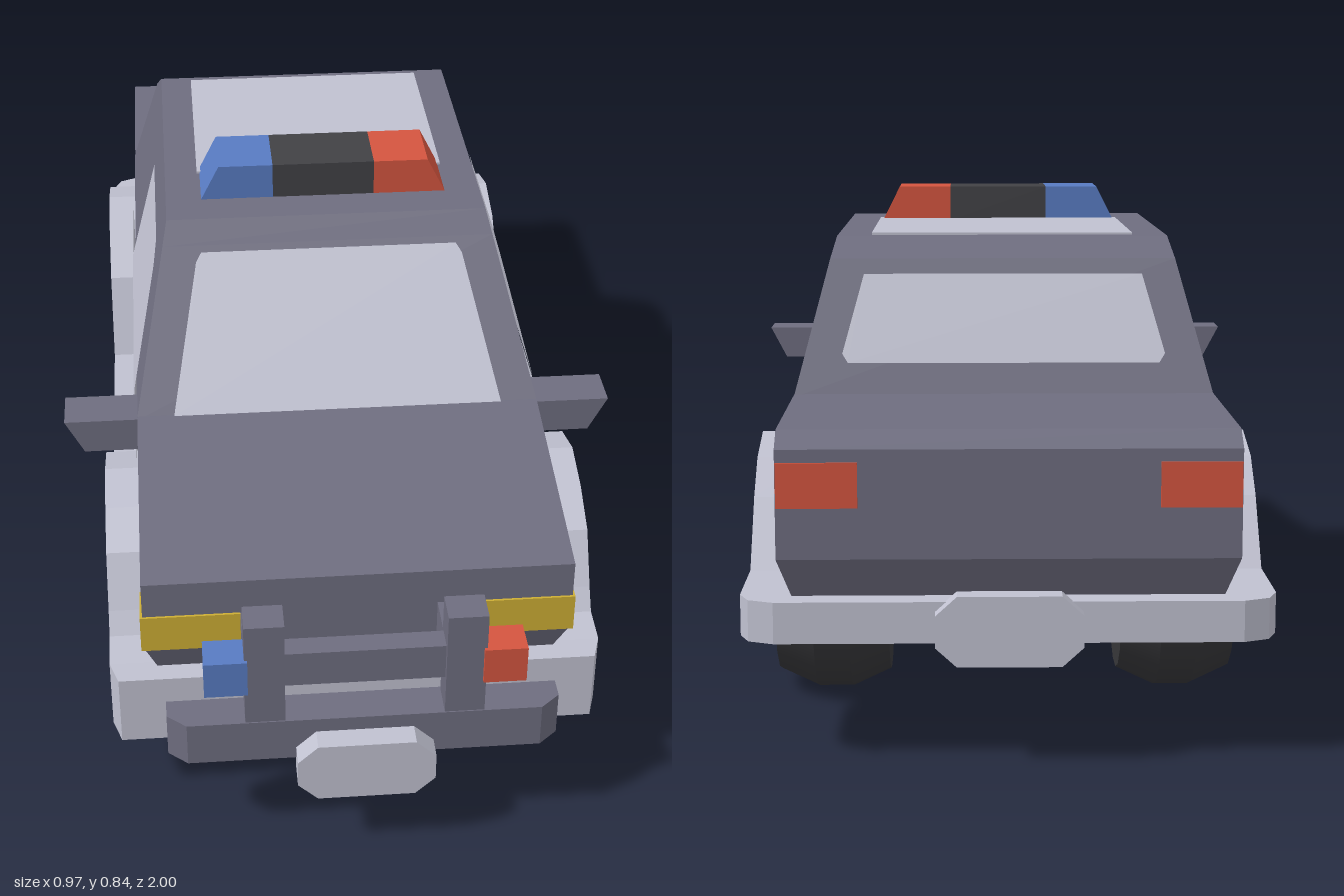
import * as THREE from 'three';
import { mergeGeometries } from 'three/addons/utils/BufferGeometryUtils.js';

const paint = (name, color, extra = {}) => {
  const m = new THREE.MeshStandardMaterial({ color, ...extra });
  m.name = name;
  return m;
};

export function createModel() {
  const car = new THREE.Group();
  car.name = 'patrolCar';
  const body = paint('slatePaint', 0x6e6d7f);
  const light = paint('paleGrey', 0xc0c1d0, { side: THREE.DoubleSide });
  const tyre = paint('tyreBlack', 0x37373a);
  const dark = paint('charcoal', 0x414145);
  const red = paint('red', 0xd4553f, { side: THREE.DoubleSide });
  const blue = paint('blue', 0x587bc2);
  const yellow = paint('yellow', 0xcdae34);

  const add = (name, geo, mat) => {
    const m = new THREE.Mesh(geo, mat);
    m.name = name;
    car.add(m);
    return m;
  };
  // Box from its limits
  const box = (name, mat, x0, x1, y0, y1, z0, z1) =>
    add(name, new THREE.BoxGeometry(Math.abs(x1 - x0), y1 - y0, z1 - z0)
      .translate((x0 + x1) / 2, (y0 + y1) / 2, (z0 + z1) / 2), mat);
  const extrude = (pts, depth) => new THREE.ExtrudeGeometry(
    new THREE.Shape(pts.map(p => new THREE.Vector2(...p))), { depth, bevelEnabled: false });
  // Side profile [z, y] between two x values
  const sideProfile = (name, mat, pts, x0, x1) =>
    add(name, extrude(pts, x1 - x0).rotateY(-Math.PI / 2).translate(x1, 0, 0), mat);
  // Plan outline [x, z] between two heights
  const plan = (name, mat, pts, y0, y1) =>
    add(name, extrude(pts.map(([x, z]) => [x, -z]), y1 - y0).rotateX(-Math.PI / 2).translate(0, y0, 0), mat);
  // Front outline [x, y] between two z values
  const frontOutline = (name, mat, pts, z0, z1) =>
    add(name, extrude(pts, z1 - z0).translate(0, 0, z0), mat);
  const geometryOf = tris => {
    const g = new THREE.BufferGeometry();
    g.setAttribute('position', new THREE.Float32BufferAttribute(tris.flat(), 3));
    g.computeVertexNormals();
    return g;
  };
  // Stack of rectangles [y, half width, back z, front z], bottom to top
  const loft = (name, mat, levels) => {
    const rings = levels.map(([y, w, b, f]) => [[-w, y, f], [w, y, f], [w, y, b], [-w, y, b]]);
    const t = [];
    const quad = (a, b, c, d) => t.push(a, b, c, a, c, d);
    for (let i = 0; i + 1 < rings.length; i++) {
      const lo = rings[i], hi = rings[i + 1];
      for (let k = 0; k < 4; k++) quad(lo[k], lo[(k + 1) % 4], hi[(k + 1) % 4], hi[k]);
    }
    quad(...rings[rings.length - 1]);
    quad(...[...rings[0]].reverse());
    return add(name, geometryOf(t), mat);
  };
  // Thin convex panel through 3D points
  const panel = (name, mat, pts) => {
    const t = [];
    for (let i = 1; i + 1 < pts.length; i++) t.push(pts[0], pts[i], pts[i + 1]);
    return add(name, geometryOf(t), mat);
  };

  // Main shell, tapered sill, cabin and floor
  sideProfile('bodyShell', body, [[0.84, 0.325], [0.84, 0.455], [0.45, 0.52], [-0.93, 0.52],
    [-0.965, 0.495], [-0.965, 0.325]], -0.355, 0.355);
  loft('lowerBody', body, [[0.195, 0.315, -0.90, 0.78], [0.26, 0.335, -0.93, 0.81], [0.325, 0.355, -0.965, 0.84]]);
  loft('cabin', body, [[0.515, 0.356, -0.583, 0.454], [0.74, 0.299, -0.465, 0.235], [0.775, 0.29, -0.41, 0.2]]);
  sideProfile('floor', body, [[0.82, 0.132], [0.82, 0.24], [-0.93, 0.24], [-0.93, 0.197],
    [-0.74, 0.197], [-0.5, 0.132]], -0.36, 0.36);

  // Windscreen, rear window and roof panel
  const wz = y => 0.457 - (y - 0.52) * 0.98;
  panel('windscreen', light, [[-0.29, 0.522], [0.29, 0.522], [0.24, 0.72], [0.23, 0.733], [-0.23, 0.733], [-0.24, 0.72]]
    .map(([x, y]) => [x, y, wz(y)]));
  const rz = y => -0.586 + (y - 0.52) * 0.523;
  panel('rearWindow', light, [[0.265, 0.57], [-0.265, 0.57], [-0.275, 0.585], [-0.24, 0.715], [0.24, 0.715], [0.275, 0.585]]
    .map(([x, y]) => [x, y, rz(y)]));
  box('roofPanel', light, -0.23, 0.23, 0.773, 0.779, -0.39, 0.02);

  // Trim outline with both wheel arches, [z, y]
  const trim = [[0.80, 0.13], [0.80, 0.26], [0.735, 0.265], [0.71, 0.30], [0.66, 0.385], [0.585, 0.425],
    [0.50, 0.447], [0.41, 0.42], [0.335, 0.35], [0.275, 0.197], [-0.27, 0.197], [-0.335, 0.35],
    [-0.42, 0.42], [-0.52, 0.447], [-0.62, 0.42], [-0.685, 0.365], [-0.765, 0.26], [-0.90, 0.26],
    [-0.90, 0.197], [-0.76, 0.197], [-0.71, 0.25], [-0.645, 0.35], [-0.57, 0.38], [-0.46, 0.38],
    [-0.39, 0.35], [-0.34, 0.25], [-0.325, 0.13], [0.33, 0.13], [0.345, 0.25], [0.40, 0.35],
    [0.47, 0.38], [0.58, 0.38], [0.65, 0.35], [0.715, 0.25], [0.735, 0.13]];

  // Wheel built from lathed rings with crisp edges between them
  const rings = pts => mergeGeometries(pts.slice(1).map((p, i) =>
    new THREE.LatheGeometry([new THREE.Vector2(...pts[i]), new THREE.Vector2(...p)], 18)));
  const tyreGeo = rings([[0, -0.095], [0.165, -0.095], [0.195, -0.03], [0.195, 0.03], [0.165, 0.095], [0.11, 0.095]]);
  const rimGeo = rings([[0.11, 0.095], [0.105, 0.088], [0.075, 0.07], [0.07, 0.05], [0.055, 0.05], [0.05, 0.07], [0, 0.07]]);

  for (const s of [1, -1]) {
    const side = s > 0 ? 'left' : 'right';
    const span = (a, b) => (s > 0 ? [a, b] : [-b, -a]);
    sideProfile(side + 'ArchTrim', light, trim, ...span(0.32, 0.415));

    // Door and side window panels
    const sidePanel = (name, pts, xAt) => panel(name, light,
      (s > 0 ? [...pts].reverse() : pts).map(([z, y]) => [s * xAt(y), y, z]));
    sidePanel(side + 'Window', [[0.375, 0.52], [0.22, 0.695], [0.165, 0.72], [-0.13, 0.72], [-0.13, 0.52]]
      .reverse(), y => 0.361 - (y - 0.52) * 0.255);
    sidePanel(side + 'Door', [[0.45, 0.325], [0.45, 0.45], [0.375, 0.52], [-0.34, 0.52], [-0.36, 0.50], [-0.36, 0.325]]
      .reverse(), () => 0.36);
    sidePanel(side + 'DoorSill', [[0.40, 0.195], [0.40, 0.325], [-0.36, 0.325], [-0.36, 0.195]]
      .reverse(), y => 0.36 - (0.325 - y) * 0.308);

    // Wing mirror
    frontOutline(side + 'Mirror', body, [[0.34, 0.455], [0.45, 0.455], [0.483, 0.518], [0.34, 0.518]]
      .map(([x, y]) => [s * x, y]), 0.375, 0.455);

    // Head and tail lamps
    box(side + 'Headlamp', yellow, s * 0.195, s * 0.359, 0.322, 0.39, 0.775, 0.844);
    box(side + 'TailLamp', red, s * 0.23, s * 0.354, 0.405, 0.475, -0.969, -0.961);

    // Push bar uprights, struts and flashers
    box(side + 'PushBarUpright', body, s * 0.13, s * 0.195, 0.18, 0.455, 0.905, 0.96);
    box(side + 'PushBarStrut', body, s * 0.13, s * 0.195, 0.325, 0.39, 0.82, 0.91);
    box(side + 'Flasher', s > 0 ? red : blue, s * 0.19, s * 0.26, 0.323, 0.39, 0.907, 0.966);

    // Roof beacon
    frontOutline(side + 'Beacon', s > 0 ? red : blue, [[0.093, 0.775], [0.225, 0.775], [0.192, 0.84], [0.093, 0.84]]
      .map(([x, y]) => [s * x, y]), 0, 0.125);

    for (const [end, z] of [['Front', 0.525], ['Rear', -0.52]]) {
      const wheel = new THREE.Group();
      wheel.name = side + end + 'Wheel';
      for (const [name, geo, mat] of [['tyre', tyreGeo, tyre], ['rim', rimGeo, body]]) {
        const m = new THREE.Mesh(geo, mat);
        m.name = name;
        wheel.add(m);
      }
      wheel.rotation.z = -s * Math.PI / 2;
      wheel.position.set(s * 0.29, 0.195, z);
      car.add(wheel);
    }
  }
  box('beaconCentre', dark, -0.093, 0.093, 0.775, 0.84, 0, 0.125);

  // Bumpers
  plan('frontBumper', light, [[-0.415, 0.75], [-0.415, 0.80], [-0.40, 0.845], [0.40, 0.845], [0.415, 0.80], [0.415, 0.75]], 0.13, 0.26);
  plan('rearBumper', light, [[-0.415, -0.85], [-0.415, -0.92], [-0.40, -0.955], [-0.36, -0.972],
    [0.36, -0.972], [0.40, -0.955], [0.415, -0.92], [0.415, -0.85]], 0.195, 0.26);

  // Push bar cross members
  box('pushBarCross', body, -0.13, 0.13, 0.325, 0.39, 0.912, 0.95);
  plan('pushBarBase', body, [[-0.322, 0.90], [-0.322, 0.935], [-0.29, 0.962], [0.29, 0.962], [0.322, 0.935], [0.322, 0.90]], 0.18, 0.26);

  // Blank number plates
  const octagon = (y0, y1, c) => [[-0.08, y0], [0.08, y0], [0.113, y0 + c], [0.113, y1 - c],
    [0.08, y1], [-0.08, y1], [-0.113, y1 - c], [-0.113, y0 + c]];
  frontOutline('frontPlate', light, octagon(0.122, 0.234, 0.032), 0.955, 1);
  frontOutline('rearPlate', light, octagon(0.165, 0.275, 0.03), -1, -0.965);
  return car;
}
